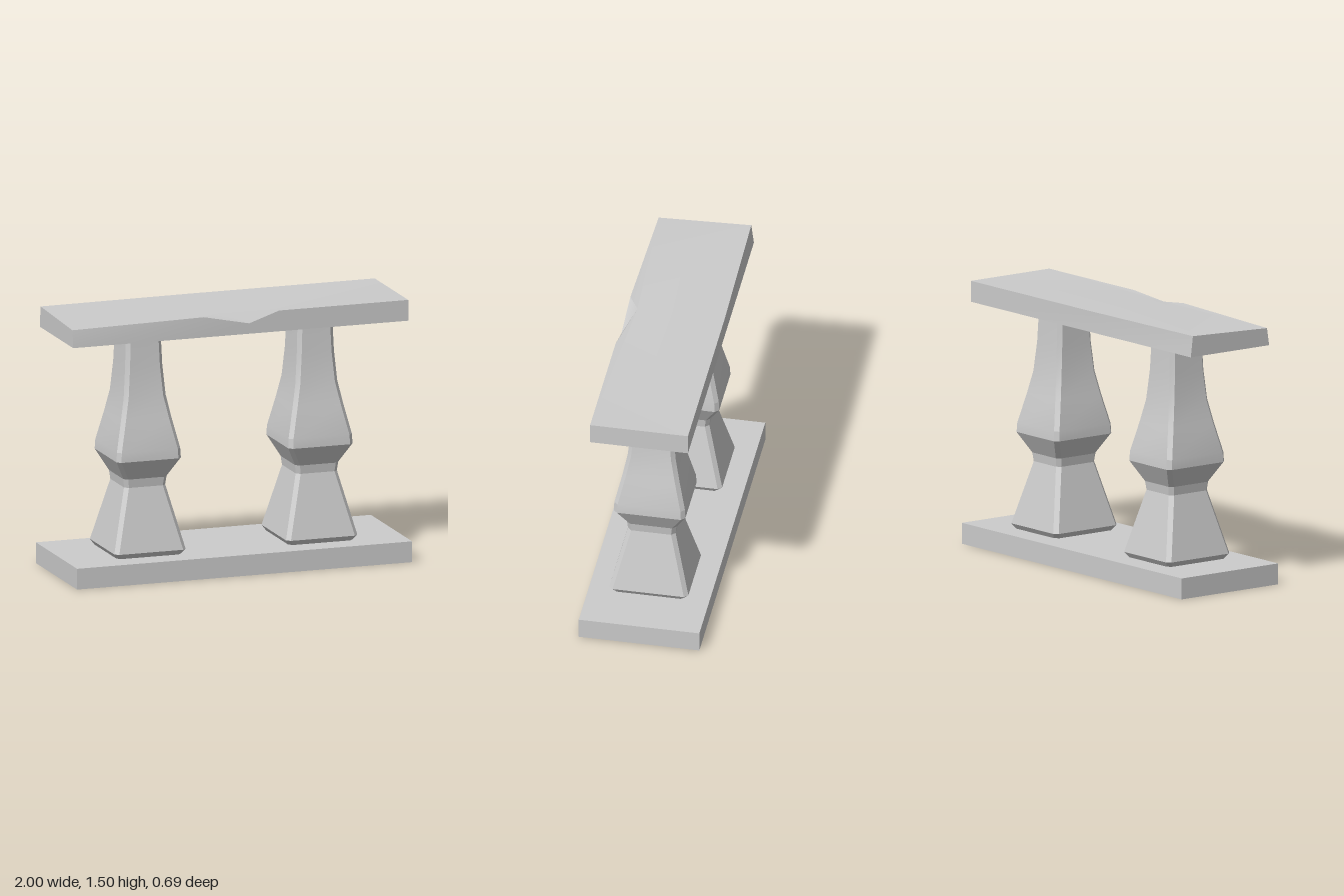
import * as THREE from 'three';
import { toCreasedNormals } from 'three/addons/utils/BufferGeometryUtils.js';

const material = new THREE.MeshStandardMaterial({ color: 0xcccccc });

// Skins a stack of equal-length rings; optional centre points close the ends as fans.
function loft(rings, crease, bottomCentre, topCentre) {
  const pos = [];
  const tri = (a, b, c) => pos.push(...a, ...b, ...c);
  const n = rings[0].length;
  for (let i = 0; i < n; i++) {
    const k = (i + 1) % n;
    for (let j = 0; j < rings.length - 1; j++) {
      const lo = rings[j], hi = rings[j + 1];
      tri(lo[i], hi[i], lo[k]);
      tri(lo[k], hi[i], hi[k]);
    }
    if (bottomCentre) tri(bottomCentre, rings[0][i], rings[0][k]);
    if (topCentre) tri(topCentre, rings.at(-1)[k], rings.at(-1)[i]);
  }
  const geometry = new THREE.BufferGeometry();
  geometry.setAttribute('position', new THREE.Float32BufferAttribute(pos, 3));
  return toCreasedNormals(geometry, crease);
}

// Rectangle with cut corners at height y
function chamferedRing(y, w, d, c) {
  return [
    [w, y, -d + c], [w, y, d - c], [w - c, y, d], [-w + c, y, d],
    [-w, y, d - c], [-w, y, -d + c], [-w + c, y, -d], [w - c, y, -d],
  ];
}

// Baluster profile: height, half width in x, half depth in z
const profile = [
  [0.12, 0.193, 0.205], [0.15, 0.213, 0.226], [0.51, 0.123, 0.136],
  [0.56, 0.129, 0.142], [0.675, 0.192, 0.205], [0.73, 0.189, 0.202],
  [0.9, 0.151, 0.163], [1.03, 0.125, 0.137], [1.2, 0.111, 0.121],
  [1.38, 0.104, 0.114],
];

function add(group, name, geometry, x = 0, y = 0) {
  const mesh = new THREE.Mesh(geometry, material);
  mesh.name = name;
  mesh.position.set(x, y, 0);
  group.add(mesh);
}

export function createModel() {
  const group = new THREE.Group();
  group.name = 'balustrade';

  // Base slab
  add(group, 'baseSlab', new THREE.BoxGeometry(2, 0.12, 0.69), 0, 0.06);

  // Pair of balusters
  const baluster = loft(profile.map(([y, w, d]) => chamferedRing(y, w, d, 0.022)), 0.2);
  add(group, 'rightBaluster', baluster, -0.515);
  add(group, 'leftBaluster', baluster, 0.51);

  // Handrail with a worn right end and a chipped front edge
  const railTop = [
    [-1, 1.5, -0.265], [-0.1, 1.5, -0.28], [1, 1.5, -0.28], [1, 1.5, 0.28],
    [0.23, 1.5, 0.28], [0.05, 1.44, 0.28], [-0.22, 1.497, 0.28], [-1, 1.48, 0.265],
  ];
  const railBottom = railTop.map(([x, , z]) => [x, 1.38, Math.sign(z) * 0.28]);
  add(group, 'handrail', loft([railBottom, railTop], 0.4, [0, 1.38, 0], [-0.12, 1.497, 0.22]));

  return group;
}
